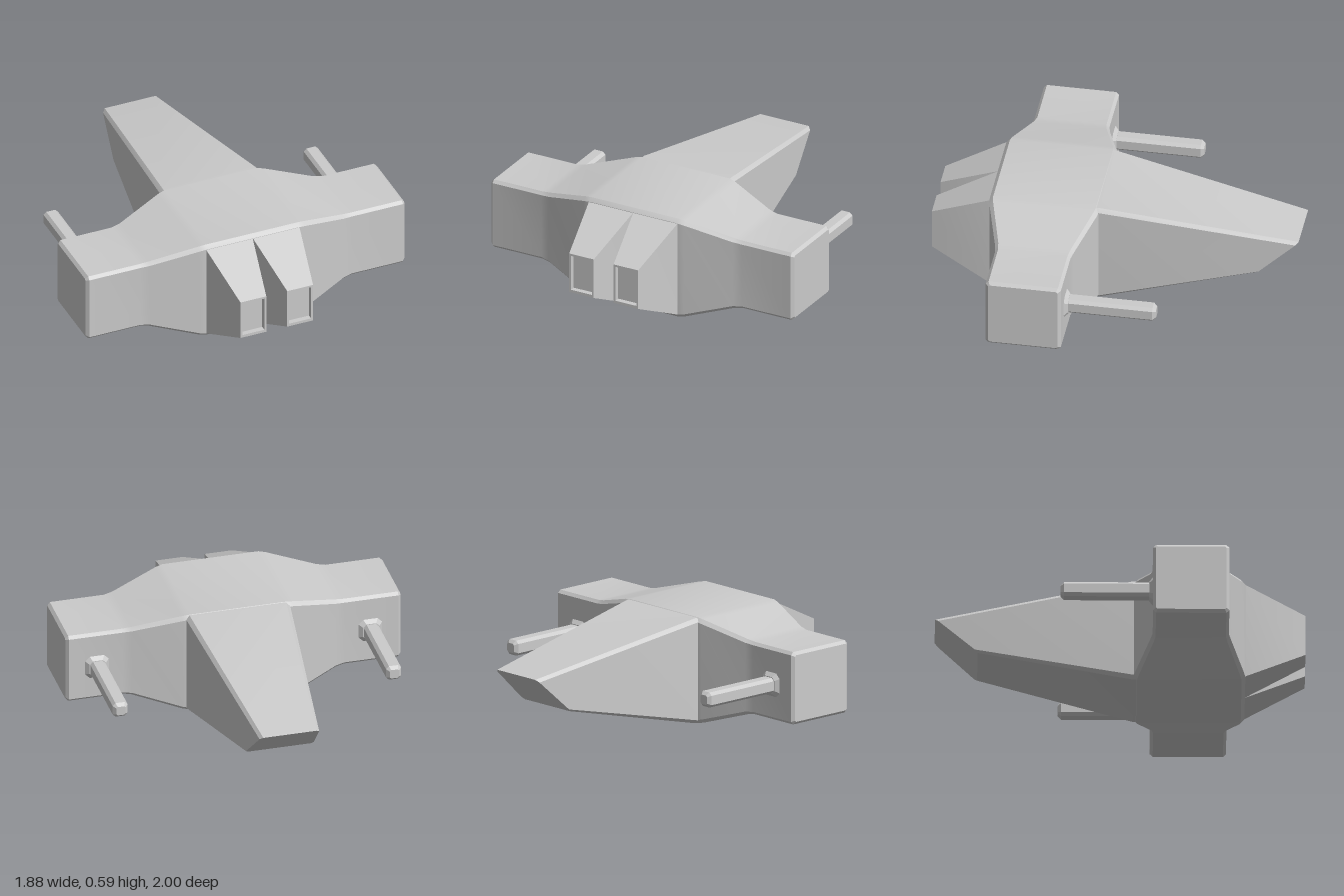
import * as THREE from 'three';
import { toCreasedNormals } from 'three/addons/utils/BufferGeometryUtils.js';

const material = new THREE.MeshStandardMaterial({ color: 0xcccccc });

// Counter-clockwise rectangle with corners cut by c
function section(u0, u1, v0, v1, c = 0) {
  if (c === 0) return [[u0, v0], [u1, v0], [u1, v1], [u0, v1]];
  return [
    [u0 + c, v0], [u1 - c, v0], [u1, v0 + c], [u1, v1 - c],
    [u1 - c, v1], [u0 + c, v1], [u0, v1 - c], [u0, v0 + c],
  ];
}

const alongX = (x, pts) => pts.map(([y, z]) => [x, y, z]);
const alongZ = (z, pts) => pts.map(([x, y]) => [x, y, z]);

// Skin a run of matching rings, ordered along the positive axis, and cap both ends
function loft(name, rings) {
  const n = rings[0].length;
  const index = [];
  for (let r = 0; r < rings.length - 1; r++) {
    for (let i = 0; i < n; i++) {
      const a = r * n + i, b = r * n + (i + 1) % n;
      index.push(a, b, b + n, a, b + n, a + n);
    }
  }
  const last = (rings.length - 1) * n;
  for (let i = 1; i < n - 1; i++) {
    index.push(0, i + 1, i, last, last + i, last + i + 1);
  }
  const geometry = new THREE.BufferGeometry();
  geometry.setAttribute('position', new THREE.Float32BufferAttribute(rings.flat(2), 3));
  geometry.setIndex(index);
  const mesh = new THREE.Mesh(toCreasedNormals(geometry, 0.35), material);
  mesh.name = name;
  return mesh;
}

// Wide bevelled body, swelling towards the middle
function hull() {
  // x, bottom, top, back, front, bevel
  const half = [
    [0.27, 0, 0.59, 0.07, 0.675, 0.02],
    [0.31, 0.008, 0.582, 0.078, 0.667, 0.02],
    [0.57, 0.09, 0.51, 0.16, 0.592, 0.018],
    [0.62, 0.098, 0.502, 0.17, 0.582, 0.016],
    [0.922, 0.098, 0.502, 0.17, 0.582, 0.016],
    [0.938, 0.114, 0.486, 0.186, 0.566, 0.008],
  ];
  const ring = (s, [x, y0, y1, z0, z1, c]) => alongX(s * x, section(y0, y1, z0, z1, c));
  return loft('hull', [
    ...half.slice().reverse().map((h) => ring(-1, h)),
    ...half.map((h) => ring(1, h)),
  ]);
}

// Tapering boom with a slanted end
function tail() {
  const halfWidth = (z) => 0.165 + (z + 1) * 0.117;
  const end = section(-1, 1, 0.2, 0.41, 0.015).map(([u, y]) => {
    const z = -0.77 - 0.23 * (y - 0.2) / 0.21;
    const side = Math.abs(u) < 1 ? 0.015 : 0;
    return [Math.sign(u) * (halfWidth(z) - side), y, z];
  });
  return loft('tail', [
    end,
    alongZ(0.07, section(-0.29, 0.29, 0.002, 0.588, 0.02)),
    alongZ(0.13, section(-0.29, 0.29, 0.004, 0.586, 0.02)),
  ]);
}

// Square nose funnel with a shallow recessed mouth
function intake(s) {
  const x = s * 0.1375;
  const ring = (z, w, y0, y1) => alongZ(z, section(x - w, x + w, y0, y1));
  return loft(s > 0 ? 'leftIntake' : 'rightIntake', [
    ring(0.6, 0.1375, 0.02, 0.57),
    ring(0.67, 0.1375, 0.02, 0.57),
    ring(1, 0.076, 0.18, 0.412),
    ring(1, 0.065, 0.196, 0.4),
    ring(0.97, 0.065, 0.196, 0.4),
  ]);
}

// Rear rod and its flared collar
function rod(s) {
  const group = new THREE.Group();
  group.name = s > 0 ? 'leftRod' : 'rightRod';
  const ring = (z, r, c) =>
    alongZ(z, section(s * 0.765 - r, s * 0.765 + r, 0.297 - r, 0.297 + r, c));
  group.add(
    loft('shaft', [ring(-0.328, 0.026, 0.008), ring(-0.31, 0.042, 0.016), ring(0.2, 0.042, 0.016)]),
    loft('collar', [ring(0.15, 0.046, 0.018), ring(0.17, 0.066, 0.026), ring(0.2, 0.066, 0.026)]),
  );
  return group;
}

export function createModel() {
  const model = new THREE.Group();
  model.name = 'spacecraft';
  model.add(hull(), tail());
  for (const s of [-1, 1]) model.add(intake(s), rod(s));
  return model;
}
